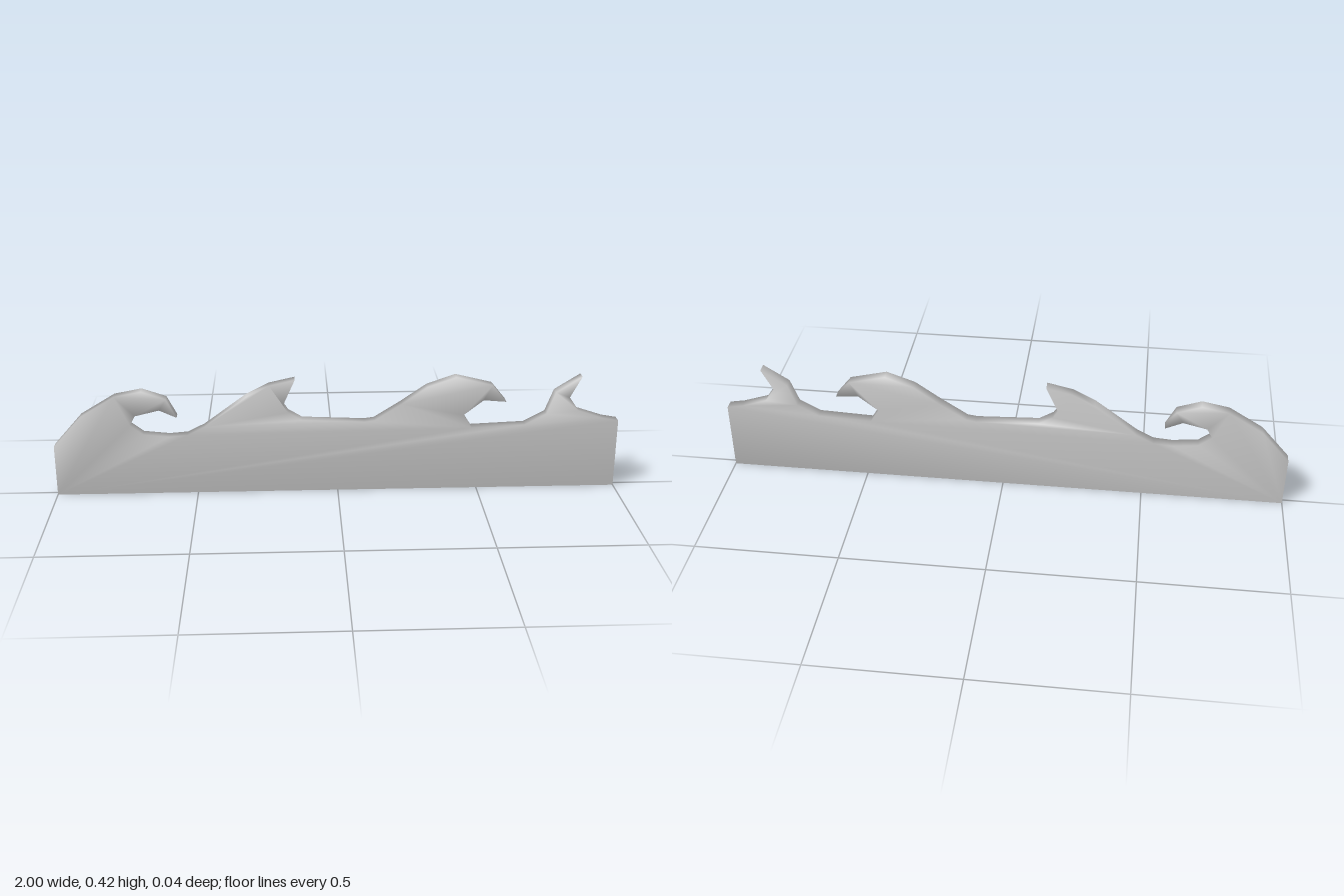
import * as THREE from 'three';
import { mergeVertices } from 'three/addons/utils/BufferGeometryUtils.js';

const DEPTH = 0.038;

// Outline runs counter-clockwise, wave by wave from right to left
const base = [[-1, 0], [1, 0], [1, 0.25], [0.945, 0.26]];
const smallCrest = [[0.855, 0.29], [0.82, 0.34], [0.86, 0.417], [0.77, 0.36], [0.74, 0.28], [0.665, 0.24]];
const rightCurl = [
  [0.475, 0.232], [0.445, 0.28], [0.515, 0.335], [0.595, 0.328], [0.545, 0.39],
  [0.415, 0.422], [0.315, 0.387], [0.225, 0.325], [0.13, 0.265], [0.095, 0.26],
];
const middleCrest = [
  [-0.125, 0.27], [-0.175, 0.3], [-0.192, 0.327], [-0.15, 0.42],
  [-0.24, 0.4], [-0.32, 0.36], [-0.47, 0.25], [-0.53, 0.22],
];
const leftCurl = [
  [-0.595, 0.215], [-0.685, 0.225], [-0.73, 0.26], [-0.71, 0.295], [-0.625, 0.315],
  [-0.565, 0.287], [-0.6, 0.355], [-0.685, 0.385], [-0.78, 0.367], [-0.9, 0.295], [-1, 0.183],
];

export function createModel() {
  const group = new THREE.Group();
  group.name = 'waveTrim';

  const outline = [...base, ...smallCrest, ...rightCurl, ...middleCrest, ...leftCurl];
  const shape = new THREE.Shape(outline.map(([x, y]) => new THREE.Vector2(x, y)));
  let geometry = new THREE.ExtrudeGeometry(shape, { depth: DEPTH, bevelEnabled: false });
  geometry.translate(0, 0, -DEPTH / 2);

  // Weld faces and rim so the shading rolls softly over the edges
  geometry.deleteAttribute('normal');
  geometry.deleteAttribute('uv');
  geometry.clearGroups();
  geometry = mergeVertices(geometry, 1e-4);
  geometry.computeVertexNormals();

  const board = new THREE.Mesh(geometry, new THREE.MeshStandardMaterial({ color: 0xcccccc }));
  board.name = 'waveBoard';
  group.add(board);
  return group;
}
